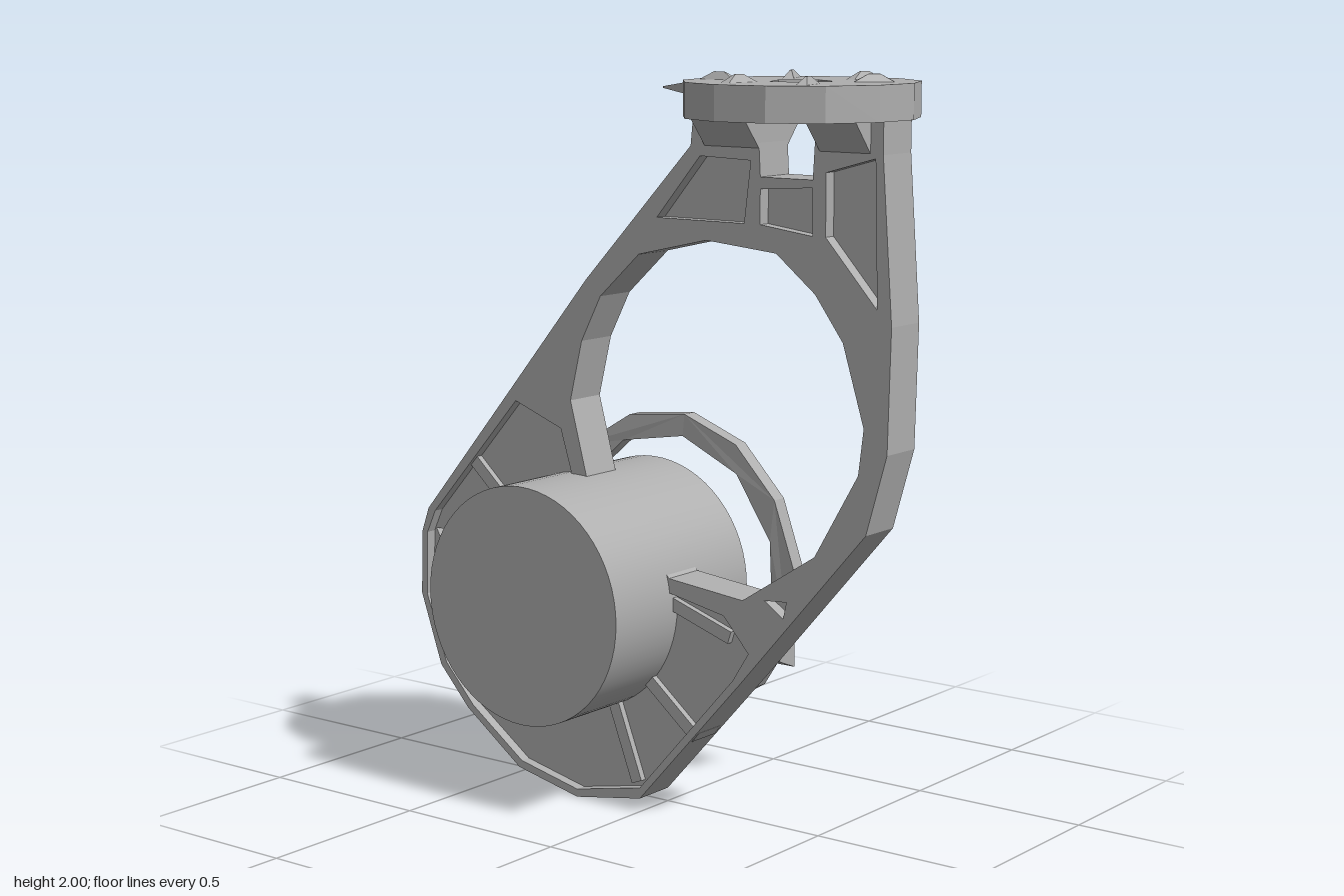
import * as THREE from 'three';

const grey = new THREE.MeshStandardMaterial({ color: 0xaeaeae });
grey.name = 'plain grey';

const toPoints = (pts) => pts.map(([x, y]) => new THREE.Vector2(x, y));
const ngon = (n, r, cx = 0, cy = 0, turn = 0) => Array.from({ length: n }, (_, i) => {
  const a = turn + (i / n) * Math.PI * 2;
  return [cx + r * Math.cos(a), cy + r * Math.sin(a)];
});

// Flat outline with holes, extruded from z0 to z1
function slab(pts, z0, z1, holes = []) {
  const shape = new THREE.Shape(toPoints(pts));
  holes.forEach((h) => shape.holes.push(new THREE.Path(toPoints(h))));
  const geo = new THREE.ExtrudeGeometry(shape, { depth: z1 - z0, bevelEnabled: false });
  return geo.translate(0, 0, z0);
}

// Box whose upper end is resized, for flares and wedges
function taperedBox(w, h, d, topW, topD) {
  const geo = new THREE.BoxGeometry(w, h, d).toNonIndexed();
  const p = geo.attributes.position;
  for (let i = 0; i < p.count; i++) {
    if (p.getY(i) > 0) {
      p.setX(i, p.getX(i) * topW / w);
      p.setZ(i, p.getZ(i) * topD / d);
    }
  }
  geo.computeVertexNormals();
  return geo;
}

export function createModel() {
  const model = new THREE.Group();
  const add = (name, geo, x = 0, y = 0, z = 0) => {
    const mesh = new THREE.Mesh(geo, grey);
    mesh.name = name;
    mesh.position.set(x, y, z);
    model.add(mesh);
    return mesh;
  };
  const midZ = 0.063;

  // Arm frame: outer outline, large opening and recessed pockets
  const outline = [
    [0, 0.04], [0.33, 0.41], [0.72, 0.86], [0.78, 1.07], [0.788, 1.39], [0.757, 1.81], [0.757, 1.91],
    [0.56, 1.91], [0.55, 1.74], [0.39, 1.74], [0.38, 1.91], [0.18, 1.91], [0.17, 1.81], [-0.18, 1.44],
    [-0.44, 1.13], [-0.76, 0.75], [-0.785, 0.68], [-0.79, 0.5], [-0.72, 0.3], [-0.62, 0.19],
    [-0.43, 0.05], [-0.22, 0.003],
  ];
  const opening = [
    [0, 1.52], [0.22, 1.57], [0.44, 1.55], [0.56, 1.455], [0.645, 1.34], [0.71, 1.13], [0.695, 1.01],
    [0.565, 0.785], [0.34, 0.64], [0.1, 0.665], [0.05, 0.72], [-0.1, 0.85], [-0.18, 0.905],
    [-0.235, 1.11], [-0.195, 1.275], [-0.13, 1.4],
  ];
  const lowerPocket = [
    [-0.43, 1.09], [-0.27, 1.03], [-0.22, 0.87], [-0.12, 0.82], [0, 0.7], [0.08, 0.63], [0.28, 0.59],
    [0.36, 0.5], [0.31, 0.42], [0, 0.07], [-0.22, 0.025], [-0.42, 0.07], [-0.6, 0.2], [-0.7, 0.31],
    [-0.77, 0.5], [-0.765, 0.68], [-0.735, 0.745],
  ];
  const upperPockets = [
    [[0.06, 1.62], [0.34, 1.62], [0.36, 1.78], [0.2, 1.785]],
    [[0.39, 1.62], [0.55, 1.6], [0.55, 1.72], [0.39, 1.71]],
    [[0.59, 1.6], [0.745, 1.43], [0.735, 1.8], [0.59, 1.76]],
    [[0.41, 0.65], [0.47, 0.61], [0.48, 0.655]],
  ];
  add('armFrame', slab(outline, 0, 0.125, [opening, lowerPocket, ...upperPockets]));

  // Thin webs closing the pockets, with small drain holes in the lower one
  const drains = [[-0.735, 0.675], [-0.55, 0.185], [0.335, 0.5]].map(([x, y]) => ngon(3, 0.027, x, y, 0.5));
  add('lowerWeb', slab(lowerPocket, 0.035, 0.095, drains));
  upperPockets.forEach((p) => add('pocketWeb', slab(p, 0.035, 0.09)));

  // Radial ribs on the lower web
  const ribs = [
    [-0.46, 0.78, -0.62, 0.925], [-0.53, 0.635, -0.69, 0.665], [-0.42, 0.34, -0.53, 0.21],
    [-0.1, 0.29, -0.02, 0.08], [0.01, 0.38, 0.18, 0.24], [0.08, 0.6, 0.29, 0.53],
  ];
  ribs.forEach(([x0, y0, x1, y1]) => {
    const len = Math.hypot(x1 - x0, y1 - y0);
    const rib = add('rib', new THREE.BoxGeometry(len, 0.035, 0.1), (x0 + x1) / 2, (y0 + y1) / 2, midZ);
    rib.rotation.z = Math.atan2(y1 - y0, x1 - x0);
  });

  // Drum through the lower end
  const drum = new THREE.CylinderGeometry(0.325, 0.325, 0.575, 64).rotateX(Math.PI / 2);
  add('drum', drum, -0.22, 0.585, 0.068);

  // Loose faceted ring behind the drum, slightly uneven in thickness
  const ring = slab(ngon(14, 0.438, 0, 0, 0.1), -0.33, -0.285, [ngon(11, 0.375, 0, 0, 0.3)]);
  const rp = ring.attributes.position;
  for (let i = 0; i < rp.count; i++) {
    const a = Math.atan2(rp.getY(i), rp.getX(i));
    rp.setZ(i, rp.getZ(i) + 0.006 * Math.sin(a * 3));
  }
  ring.computeVertexNormals();
  add('ring', ring, -0.22, 0.59, 0);
  const knob = taperedBox(0.075, 0.045, 0.09, 0.11, 0.13).rotateX(-Math.PI / 2);
  add('ringKnob', knob, 0.105, 0.395, -0.35);

  // Round head plate with a five-sided hole
  const head = slab(ngon(13, 0.302, 0, 0, 0.2), 0, 0.09, [ngon(5, 0.085, 0, 0, 0.4)]);
  head.rotateX(-Math.PI / 2);
  add('headPlate', head, 0.472, 1.89, 0.067);

  // Flares joining the frame to the head plate
  add('headFlare', taperedBox(0.17, 0.08, 0.125, 0.17, 0.26), 0.3, 1.852, midZ);
  add('headFlare', taperedBox(0.15, 0.08, 0.125, 0.15, 0.26), 0.645, 1.852, midZ);

  // Pointer on the head rim
  const pointer = taperedBox(0.045, 0.13, 0.12, 0.004, 0.085).rotateZ(Math.PI / 2);
  add('pointer', pointer, 0.13, 1.955, midZ);

  // Low ridges on the head plate
  [[0.3, 0.19, 0.6], [1.25, 0.2, 1.4], [2.3, 0.2, 2], [3.4, 0.22, 3.2], [4.3, 0.18, 4.6], [5.4, 0.21, 5]]
    .forEach(([a, r, turn]) => {
      const ridge = add('headRidge', taperedBox(0.12, 0.025, 0.035, 0.03, 0.004),
        0.472 + r * Math.cos(a), 1.9875, 0.067 - r * Math.sin(a));
      ridge.rotation.y = turn;
    });

  return model;
}
